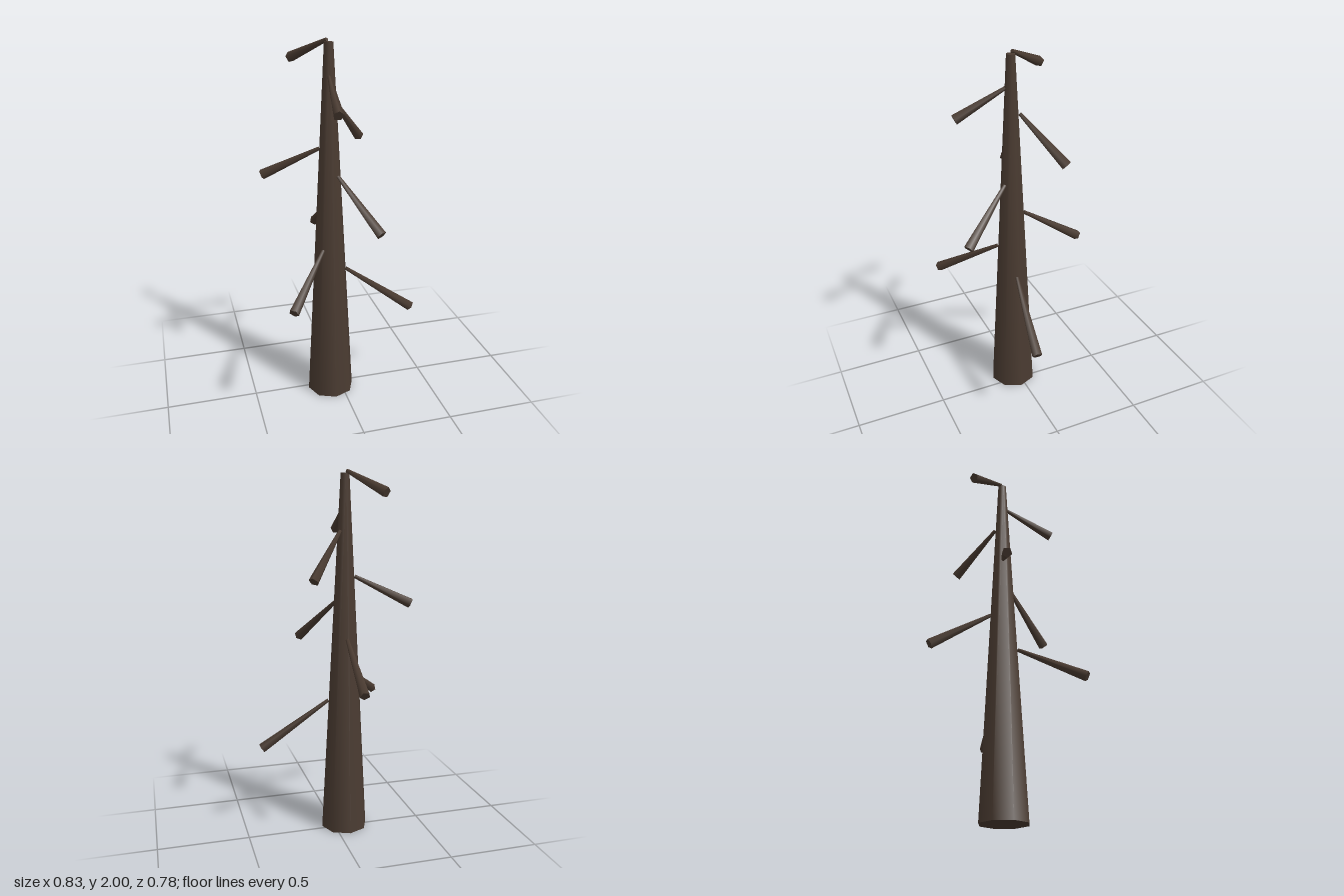
import * as THREE from 'three';

export function createModel() {
  const group = new THREE.Group();
  group.name = 'deadTree';
  const bark = new THREE.MeshStandardMaterial({ color: 0x4a3b31 });
  bark.name = 'darkBark';

  // Tapered eight-sided trunk
  const trunk = new THREE.Mesh(new THREE.CylinderGeometry(0.024, 0.131, 1.98, 8), bark);
  trunk.name = 'trunk';
  trunk.position.set(-0.06, 0.99, 0.025);
  group.add(trunk);

  // Drooping branches, thin at the trunk and thick at the tip: [start, end]
  const branches = [
    [[0.03, 0.755, 0.035], [0.4, 0.49, 0.083]],
    [[-0.113, 0.9, 0.09], [-0.337, 0.705, 0.373]],
    [[-0.056, 1.11, -0.045], [-0.05, 0.89, -0.38]],
    [[-0.027, 1.305, 0.078], [0.125, 1.065, 0.346]],
    [[-0.11, 1.445, 0.01], [-0.4, 1.3, -0.08]],
    [[-0.025, 1.685, -0.008], [0.162, 1.445, -0.183]],
    [[-0.065, 1.815, 0.05], [-0.09, 1.68, 0.318]],
    [[-0.067, 1.99, 0.015], [-0.21, 1.88, -0.202]],
  ];
  const up = new THREE.Vector3(0, 1, 0);
  branches.forEach(([a, b], i) => {
    const start = new THREE.Vector3(...a);
    const end = new THREE.Vector3(...b);
    const axis = start.clone().sub(end);
    const branch = new THREE.Mesh(new THREE.CylinderGeometry(0.01, 0.028, axis.length(), 5), bark);
    branch.name = `branch${i + 1}`;
    branch.position.copy(start).add(end).multiplyScalar(0.5);
    branch.quaternion.setFromUnitVectors(up, axis.normalize());
    group.add(branch);
  });
  return group;
}
